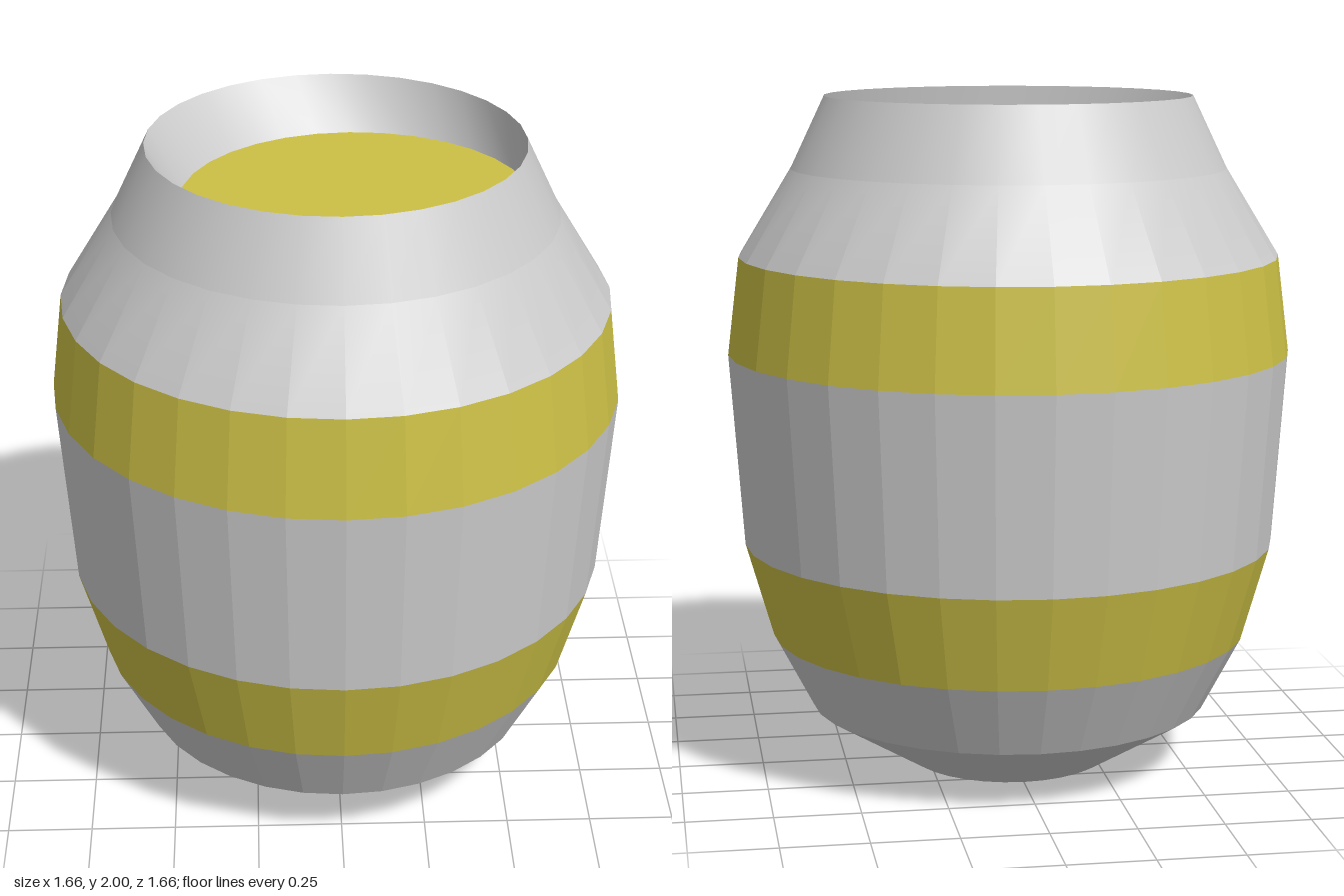
import * as THREE from 'three';

const SIDES = 32;
const grey = new THREE.MeshStandardMaterial({ color: 0xcccccc });
const greyInner = new THREE.MeshStandardMaterial({ color: 0xcccccc, side: THREE.DoubleSide });
const yellow = new THREE.MeshStandardMaterial({ color: 0xccc046 });

// Faceted ring of wall between two heights; smooth lists the ends with rounded shading
function band(name, [r0, y0], [r1, y1], material, smooth = {}) {
  const h = y1 - y0;
  const g = new THREE.CylinderGeometry(r1, r0, h, SIDES, 1, true).toNonIndexed();
  g.computeVertexNormals();
  const p = g.attributes.position, n = g.attributes.normal;
  const v = new THREE.Vector3();
  for (let i = 0; i < p.count; i++) {
    if (p.getY(i) > 0 ? smooth.top : smooth.bottom) {
      v.set(p.getX(i), 0, p.getZ(i)).normalize();
      v.y = (r0 - r1) / h;
      v.normalize();
      n.setXYZ(i, v.x, v.y, v.z);
    }
  }
  const mesh = new THREE.Mesh(g, material);
  mesh.name = name;
  mesh.position.y = y0 + h / 2;
  return mesh;
}

function disc(name, r, x, y, z, up, material) {
  const mesh = new THREE.Mesh(new THREE.CircleGeometry(r, SIDES), material);
  mesh.name = name;
  mesh.rotation.x = up ? -Math.PI / 2 : Math.PI / 2;
  mesh.position.set(x, y, z);
  return mesh;
}

export function createModel() {
  const group = new THREE.Group();
  group.name = 'barrel';

  // Barrel wall, from the base up: [radius, height]
  const profile = [
    [0.30, 0], [0.595, 0.18], [0.71, 0.40], [0.79, 0.68],
    [0.83, 1.25], [0.795, 1.535], [0.64, 1.79], [0.54, 2],
  ];
  const parts = [
    ['baseTaper', grey], ['lowerWall', grey], ['lowerBand', yellow], ['middleWall', grey],
    ['upperBand', yellow], ['shoulder', grey, { top: true }],
    ['neck', grey, { top: true, bottom: true }],
  ];
  parts.forEach(([name, material, smooth], i) =>
    group.add(band(name, profile[i], profile[i + 1], material, smooth)));
  group.add(disc('base', 0.30, 0, 0, 0, false, grey));

  // Recess inside the rim, its floor set slightly off centre
  const shift = 0.055, depth = 0.15;
  const inner = new THREE.CylinderGeometry(0.54, 0.5, depth, SIDES, 1, true);
  const p = inner.attributes.position;
  for (let i = 0; i < p.count; i++) {
    if (p.getY(i) < 0) p.setXYZ(i, p.getX(i) + shift, p.getY(i), p.getZ(i) + shift);
  }
  inner.computeVertexNormals();
  const recess = new THREE.Mesh(inner, greyInner);
  recess.name = 'recessWall';
  recess.position.y = 2 - depth / 2;
  group.add(recess);
  group.add(disc('contents', 0.5, shift, 2 - depth, shift, true, yellow));

  return group;
}
